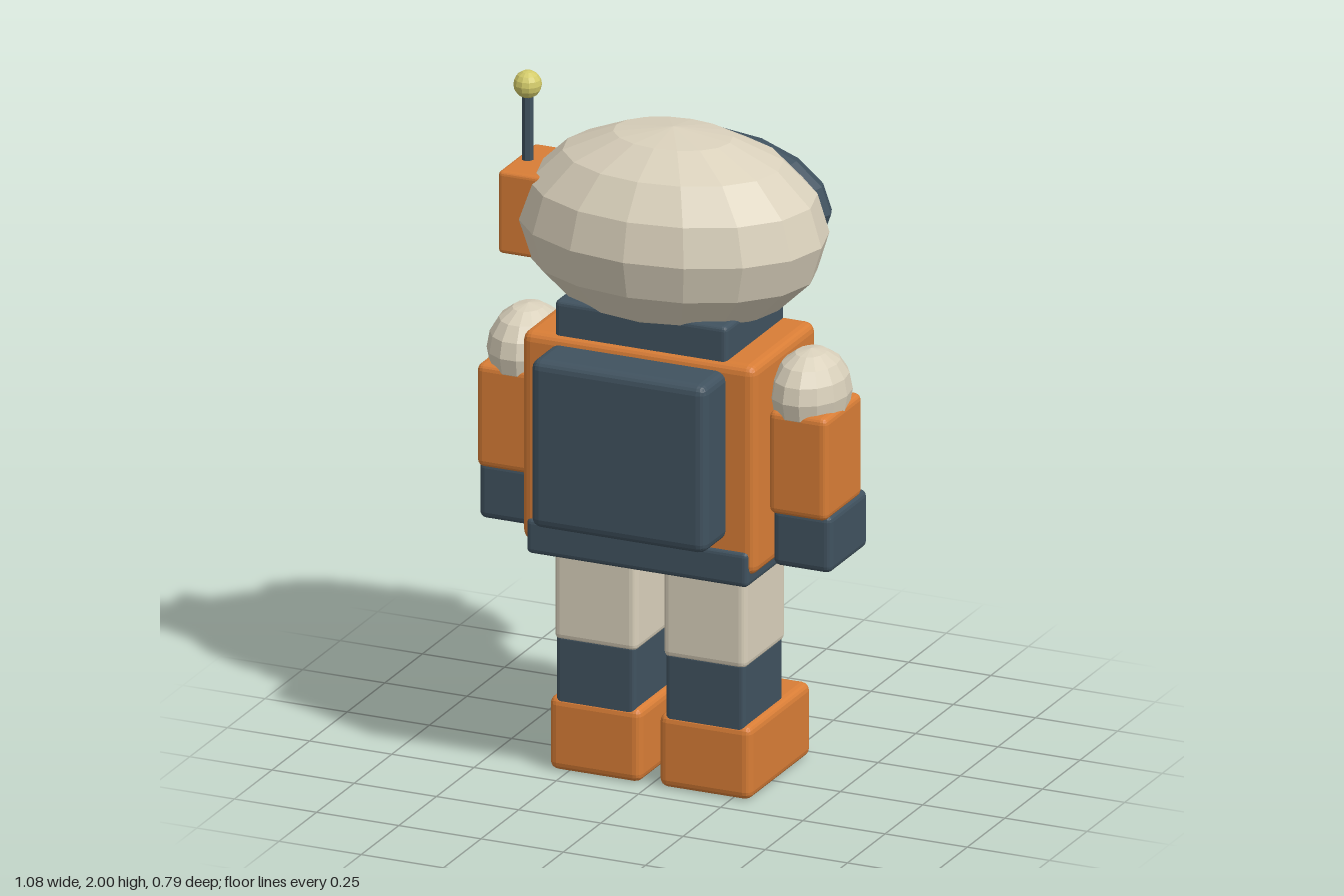
import * as THREE from 'three';
import { RoundedBoxGeometry } from 'three/addons/geometries/RoundedBoxGeometry.js';

const mat = (name, color) => {
  const m = new THREE.MeshStandardMaterial({ color, flatShading: true });
  m.name = name;
  return m;
};

export function createModel() {
  const cream = mat('cream', 0xd9d0bb);
  const orange = mat('orange', 0xd87d36);
  const slate = mat('slate', 0x40525f);
  const teal = mat('teal', 0x2fbfb8);
  const yellow = mat('yellow', 0xd3cb6a);

  const model = new THREE.Group();
  model.name = 'astronaut';

  const add = (name, geometry, material, parent = model) => {
    const mesh = new THREE.Mesh(geometry, material);
    mesh.name = name;
    parent.add(mesh);
    return mesh;
  };

  // Rounded box given by its [min, max] range on each axis
  const box = (name, material, x, y, z, bevel = 0.02, parent = model) => {
    const size = [x, y, z].map(([a, b]) => b - a);
    const mesh = add(name, new RoundedBoxGeometry(...size, 2, bevel), material, parent);
    mesh.position.set(...[x, y, z].map(([a, b]) => (a + b) / 2));
    return mesh;
  };

  // Faceted ellipsoid given by centre and radii
  const ellipsoid = (name, material, centre, radii, w = 16, h = 8, parent = model) => {
    const geometry = new THREE.SphereGeometry(1, w, h).scale(...radii);
    const mesh = add(name, geometry, material, parent);
    mesh.position.set(...centre);
    return mesh;
  };

  // Helmet with rim, visor and glint; the face looks toward -z
  ellipsoid('helmet', cream, [0, 1.605, 0.02], [0.452, 0.29, 0.333]);
  const rim = add('visorRim',
    new THREE.TorusGeometry(1, 0.17, 8, 16).scale(0.308, 0.171, 0.32), slate);
  rim.position.set(0, 1.6, -0.243);
  ellipsoid('visor', teal, [0, 1.607, -0.3], [0.318, 0.157, 0.09]);
  box('visorGlint', cream, [0, 0.195], [1.64, 1.67], [-0.398, -0.366], 0.004);

  // Side radio and antenna
  box('radio', orange, [-0.468, -0.33], [1.495, 1.738], [-0.083, 0.163], 0.012);
  const rod = add('antennaRod', new THREE.CylinderGeometry(0.017, 0.017, 0.24, 8), slate);
  rod.position.set(-0.432, 1.83, 0.042);
  ellipsoid('antennaTip', yellow, [-0.432, 1.96, 0.042], [0.04, 0.04, 0.04], 12, 8);

  // Collar, torso, backpack and belt
  box('collar', slate, [-0.262, 0.262], [1.28, 1.415], [-0.15, 0.238], 0.015);
  box('torso', orange, [-0.355, 0.355], [0.695, 1.315], [-0.163, 0.255], 0.028);
  box('backpack', slate, [-0.267, 0.267], [0.793, 1.29], [0.18, 0.393], 0.028);
  box('belt', slate, [-0.337, 0.337], [0.663, 0.767], [-0.175, 0.264], 0.015);
  box('buckle', yellow, [-0.065, 0.065], [0.677, 0.752], [-0.21, -0.165], 0.008);
  box('chestBadge', cream, [0.13, 0.27], [1.01, 1.122], [-0.188, -0.15], 0.008);

  // Arms and legs, mirrored by symmetric placement
  for (const side of [1, -1]) {
    const label = side > 0 ? 'left' : 'right';
    const span = (a, b) => (side > 0 ? [a, b] : [-b, -a]);

    const arm = new THREE.Group();
    arm.name = label + 'Arm';
    model.add(arm);
    ellipsoid('shoulder', cream, [side * 0.43, 1.19, 0.042], [0.11, 0.125, 0.14], 14, 8, arm);
    box('sleeve', orange, span(0.355, 0.533), [0.855, 1.16], [-0.078, 0.167], 0.02, arm);
    box('glove', slate, span(0.358, 0.536), [0.695, 0.866], [-0.107, 0.145], 0.02, arm);

    const leg = new THREE.Group();
    leg.name = label + 'Leg';
    model.add(leg);
    box('thigh', cream, span(0.04, 0.292), [0.385, 0.69], [-0.095, 0.18], 0.02, leg);
    box('shin', slate, span(0.046, 0.287), [0.19, 0.405], [-0.085, 0.176], 0.015, leg);
    box('boot', orange, span(0.027, 0.307), [0, 0.218], [-0.232, 0.18], 0.024, leg);
  }

  return model;
}
